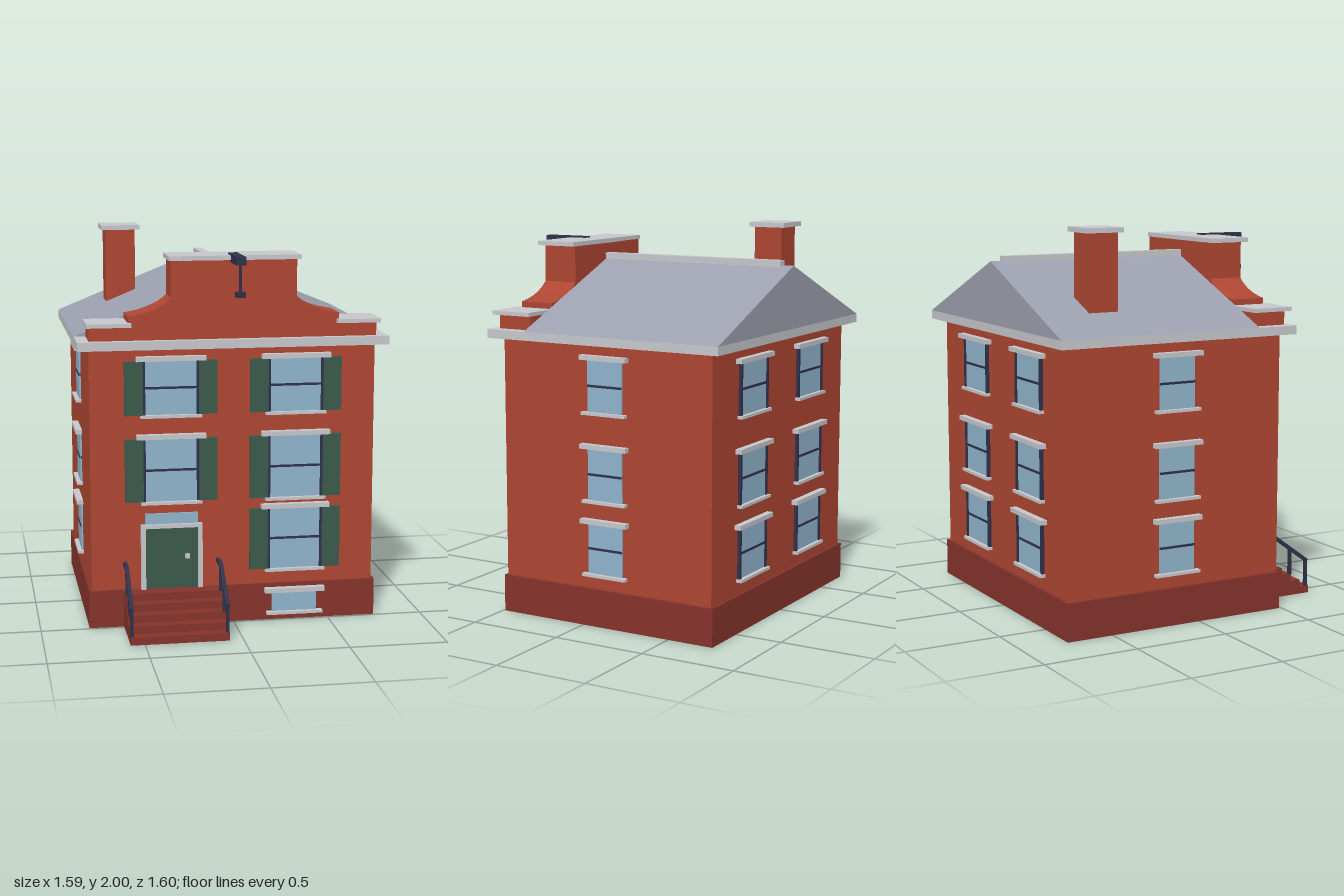
import * as THREE from 'three';

const mat = (name, color) => {
  const m = new THREE.MeshStandardMaterial({ color });
  m.name = name;
  return m;
};

export function createModel() {
  const brick = mat('brick red', 0xae4632);
  const stone = mat('dark red stone', 0x85332b);
  const trim = mat('pale grey trim', 0xc6c7cb);
  const slate = mat('slate grey', 0x9c9fae);
  const glass = mat('window blue', 0x90b4cc);
  const green = mat('shutter green', 0x3b5a4a);
  const iron = mat('dark iron', 0x30304a);

  const house = new THREE.Group();
  house.name = 'house';

  const add = (parent, name, geo, m) => {
    const mesh = new THREE.Mesh(geo, m);
    mesh.name = name;
    parent.add(mesh);
    return mesh;
  };
  // Box from its limits on each axis
  const box = (parent, name, m, x0, x1, y0, y1, z0, z1) => {
    const mesh = add(parent, name, new THREE.BoxGeometry(x1 - x0, y1 - y0, z1 - z0), m);
    mesh.position.set((x0 + x1) / 2, (y0 + y1) / 2, (z0 + z1) / 2);
    return mesh;
  };
  const prism = (name, m, shape, z0, z1) => {
    const geo = new THREE.ExtrudeGeometry(shape, { depth: z1 - z0, bevelEnabled: false, curveSegments: 8 });
    geo.translate(0, 0, z0);
    return add(house, name, geo, m);
  };
  const group = (parent, name) => {
    const g = new THREE.Group();
    g.name = name;
    parent.add(g);
    return g;
  };

  // Walls, plinth and eaves
  box(house, 'plinth', stone, -0.75, 0.75, 0, 0.195, -0.75, 0.49);
  box(house, 'walls', brick, -0.735, 0.735, 0.195, 1.445, -0.735, 0.478);
  box(house, 'cornice', trim, -0.796, 0.796, 1.445, 1.49, -0.797, 0.54);

  // Gabled roof and ridge
  const roof = new THREE.Shape();
  roof.moveTo(-0.796, 1.49);
  roof.lineTo(0.796, 1.49);
  roof.lineTo(0, 1.812);
  prism('roof', slate, roof, -0.797, 0.316);
  box(house, 'ridgeCap', trim, -0.022, 0.022, 1.795, 1.837, -0.733, 0.316);

  // Curved front parapet with coping stones
  const p = new THREE.Shape();
  p.moveTo(-0.735, 1.49);
  p.lineTo(0.735, 1.49);
  p.lineTo(0.735, 1.56);
  p.lineTo(0.54, 1.56);
  p.lineTo(0.54, 1.61);
  p.quadraticCurveTo(0.39, 1.63, 0.32, 1.7);
  p.lineTo(0.32, 1.89);
  p.lineTo(-0.32, 1.89);
  p.lineTo(-0.32, 1.7);
  p.quadraticCurveTo(-0.39, 1.63, -0.54, 1.61);
  p.lineTo(-0.54, 1.56);
  p.lineTo(-0.735, 1.56);
  prism('parapet', brick, p, 0.316, 0.505);
  box(house, 'topCoping', trim, -0.336, 0.336, 1.888, 1.911, 0.316, 0.54);
  box(house, 'leftCoping', trim, 0.525, 0.75, 1.56, 1.58, 0.316, 0.54);
  box(house, 'rightCoping', trim, -0.75, -0.525, 1.56, 1.58, 0.316, 0.54);

  // Chimney
  box(house, 'chimney', brick, -0.562, -0.402, 1.5, 1.975, -0.527, -0.367);
  box(house, 'chimneyCap', trim, -0.586, -0.378, 1.975, 2, -0.551, -0.345);

  // Hoist beam with its hook
  const hoist = group(house, 'hoist');
  box(hoist, 'hoistBeam', iron, -0.024, 0.024, 1.877, 1.918, 0.445, 0.7);
  box(hoist, 'hoistRod', iron, -0.006, 0.006, 1.74, 1.88, 0.672, 0.684);
  box(hoist, 'hoistHook', iron, -0.024, 0.024, 1.718, 1.744, 0.655, 0.7);

  // Windows are built on a wall plane facing +z, at local z = 0
  const windowUnit = (wall, cx, y0, y1, o) => {
    const w = group(wall, 'window');
    w.position.x = cx;
    const h = o.half;
    box(w, 'glass', glass, -h, h, y0, y1, 0, 0.009);
    if (o.bar) box(w, 'sashBar', iron, -h, h, (y0 + y1) / 2 - 0.006, (y0 + y1) / 2 + 0.006, 0, 0.012);
    box(w, 'lintel', trim, -o.lintel, o.lintel, y1, y1 + 0.024, 0, 0.034);
    box(w, 'sill', trim, -o.sill, o.sill, y0 - 0.015, y0, 0, 0.03);
    for (const s of [-1, 1]) {
      if (o.jambs) box(w, 'jamb', iron, s * (h + 0.007) - 0.008, s * (h + 0.007) + 0.008, y0, y1, 0, 0.016);
      if (o.shutters) box(w, 'shutter', green, s * 0.19 - 0.047, s * 0.19 + 0.047, y0, y1, 0, 0.02);
    }
  };
  const wallPlane = (name, x, z, turn) => {
    const g = group(house, name);
    g.position.set(x, 0, z);
    g.rotation.y = turn;
    return g;
  };

  const wide = { half: 0.132, lintel: 0.178, sill: 0.157, bar: true, jambs: true };
  const narrow = { half: 0.1, lintel: 0.135, sill: 0.127, bar: true };
  const shuttered = { ...wide, shutters: true };

  // Front windows; the door takes the place of one on the ground floor
  const front = wallPlane('frontWindows', 0, 0.478, 0);
  for (const cx of [-0.322, 0.322]) {
    windowUnit(front, cx, 1.106, 1.382, shuttered);
    windowUnit(front, cx, 0.656, 0.982, shuttered);
  }
  windowUnit(front, 0.322, 0.276, 0.598, shuttered);
  const cellar = wallPlane('cellarWindow', 0, 0.49, 0);
  windowUnit(cellar, 0.32, 0.046, 0.15, { half: 0.117, lintel: 0.158, sill: 0.148 });

  // Back and side windows
  const back = wallPlane('backWindows', 0, -0.735, Math.PI);
  const left = wallPlane('leftWindows', 0.735, -0.13, Math.PI / 2);
  const right = wallPlane('rightWindows', -0.735, -0.13, -Math.PI / 2);
  for (const [y0, y1] of [[1.106, 1.368], [0.656, 0.919], [0.276, 0.535]]) {
    for (const cx of [-0.32, 0.32]) windowUnit(back, cx, y0, y1, wide);
    windowUnit(left, 0, y0, y1, narrow);
    windowUnit(right, 0, y0, y1, narrow);
  }

  // Front door
  const door = group(house, 'frontDoor');
  box(door, 'doorPanel', green, -0.457, -0.186, 0.195, 0.516, 0.478, 0.49);
  box(door, 'doorJamb', trim, -0.481, -0.457, 0.195, 0.536, 0.478, 0.503);
  box(door, 'doorJamb', trim, -0.186, -0.163, 0.195, 0.536, 0.478, 0.503);
  box(door, 'doorHead', trim, -0.457, -0.186, 0.516, 0.536, 0.478, 0.503);
  box(door, 'transomGlass', glass, -0.457, -0.186, 0.536, 0.592, 0.478, 0.487);
  box(door, 'doorKnob', trim, -0.253, -0.231, 0.354, 0.376, 0.49, 0.508);

  // Steps
  const steps = group(house, 'steps');
  for (let i = 0; i < 5; i++) {
    box(steps, 'step', stone, -0.572, -0.07, i * 0.039, (i + 1) * 0.039, 0.49, 0.8 - i * 0.0575);
  }

  // Railings beside the steps
  for (const x of [-0.564, -0.08]) {
    const rail = group(house, 'railing');
    const posts = [[0.783, 0.039, 0.182], [0.68, 0.117, 0.258], [0.575, 0.195, 0.333]];
    for (const [z, y0, y1] of posts) {
      box(rail, 'railPost', iron, x - 0.008, x + 0.008, y0, y1, z - 0.008, z + 0.008);
    }
    const rise = 0.151, run = 0.208;
    const slope = add(rail, 'slopingRail', new THREE.BoxGeometry(0.02, 0.018, Math.hypot(rise, run) + 0.012), iron);
    slope.position.set(x, 0.2575, 0.679);
    slope.rotation.x = Math.atan2(rise, run);
    box(rail, 'levelRail', iron, x - 0.01, x + 0.01, 0.324, 0.342, 0.478, 0.578);
  }

  return house;
}
